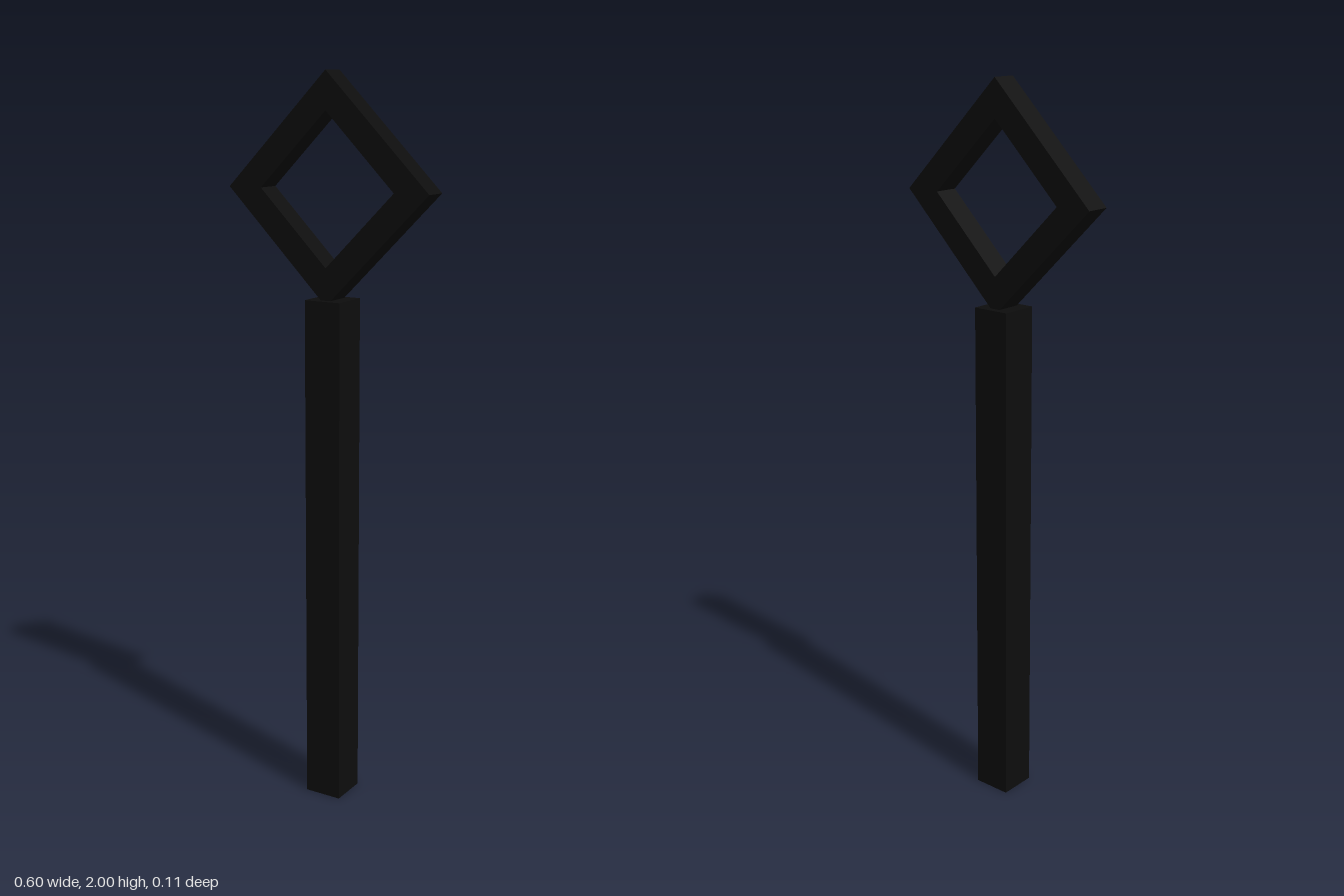
import * as THREE from 'three';

// Four-cornered diamond outline with the given half diagonal
function diamond(PathType, r) {
  const path = new PathType();
  path.moveTo(r, 0);
  path.lineTo(0, r);
  path.lineTo(-r, 0);
  path.lineTo(0, -r);
  path.closePath();
  return path;
}

export function createModel() {
  const black = new THREE.MeshStandardMaterial({ color: 0x0d0d0d });
  black.name = 'black';

  const model = new THREE.Group();
  model.name = 'diamondTopPost';

  // Square post
  const postHeight = 1.415;
  const post = new THREE.Mesh(new THREE.BoxGeometry(0.106, postHeight, 0.106), black);
  post.name = 'post';
  post.position.y = postHeight / 2;
  model.add(post);

  // Open diamond frame, its lower corner set into the post
  const depth = 0.07;
  const outline = diamond(THREE.Shape, 0.3);
  outline.holes.push(diamond(THREE.Path, 0.2));
  const frameGeometry = new THREE.ExtrudeGeometry(outline, { depth, bevelEnabled: false });
  frameGeometry.translate(0, 0, -depth / 2);
  const frame = new THREE.Mesh(frameGeometry, black);
  frame.name = 'diamondFrame';
  frame.position.y = 1.7;
  model.add(frame);

  return model;
}
